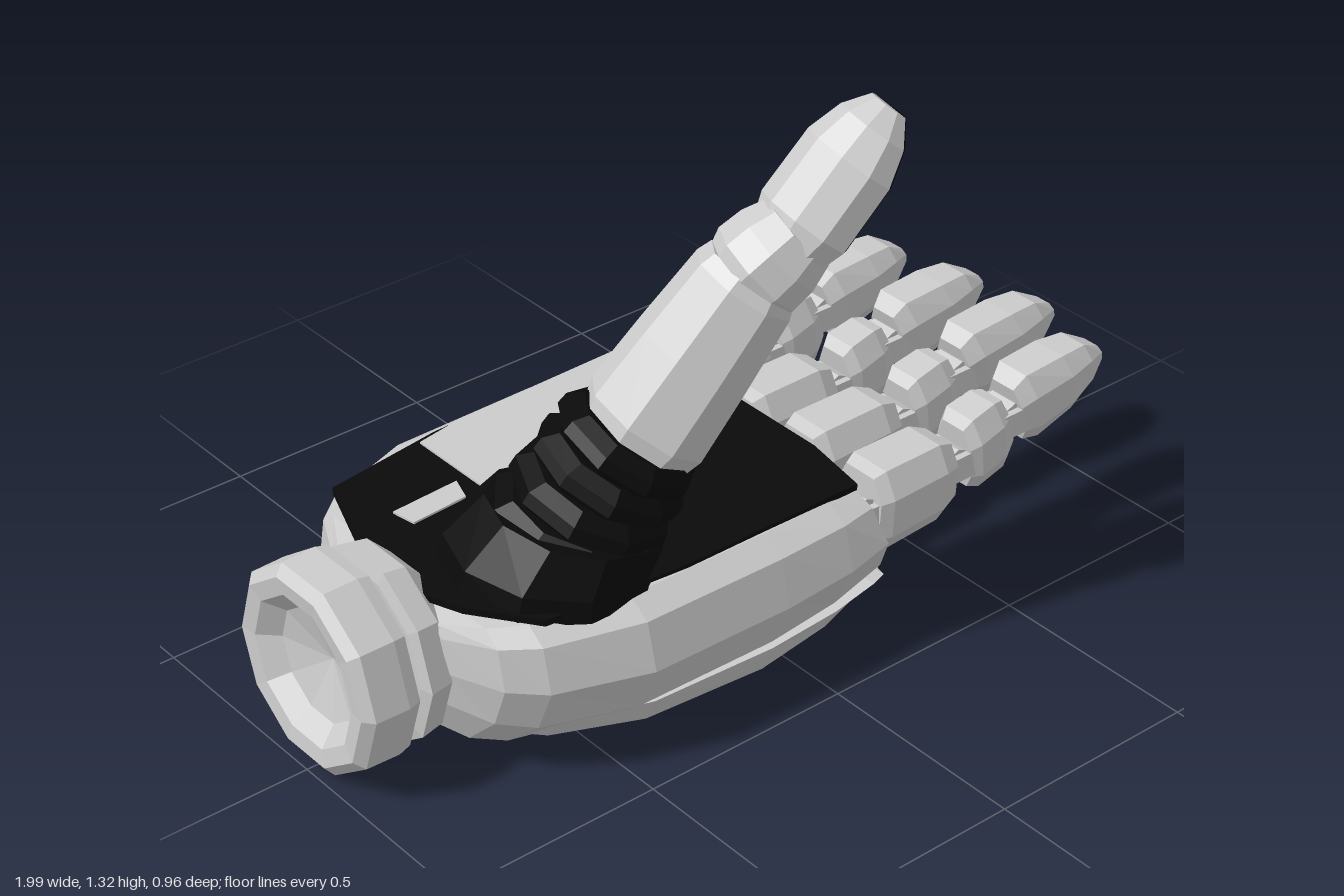
import * as THREE from 'three';

const V = (x, y, z) => new THREE.Vector3(x, y, z);
const TURN = Math.PI * 2;
const grey = new THREE.MeshStandardMaterial({ color: 0xcccccc, flatShading: true });
const greyThin = new THREE.MeshStandardMaterial({ color: 0xcccccc, flatShading: true, side: THREE.DoubleSide });
const black = new THREE.MeshStandardMaterial({ color: 0x0a0a0a, flatShading: true });

// Closed faceted solid through a list of equal-length rings, faces turned outward
function loft(rings) {
  const n = rings[0].length, pts = rings.flat(), idx = [];
  for (let i = 0; i < rings.length - 1; i++)
    for (let j = 0; j < n; j++) {
      const a = i * n + j, b = i * n + (j + 1) % n;
      idx.push(a, b, a + n, b, b + n, a + n);
    }
  [0, rings.length - 1].forEach((r, end) => {
    const c = pts.length;
    pts.push(rings[r].reduce((s, p) => s.add(p), V(0, 0, 0)).divideScalar(n));
    for (let j = 0; j < n; j++) {
      const a = r * n + j, b = r * n + (j + 1) % n;
      idx.push(...(end ? [c, a, b] : [c, b, a]));
    }
  });
  let volume = 0;
  for (let i = 0; i < idx.length; i += 3)
    volume += pts[idx[i]].dot(V(0, 0, 0).crossVectors(pts[idx[i + 1]], pts[idx[i + 2]]));
  if (volume < 0) idx.reverse();
  const g = new THREE.BufferGeometry().setFromPoints(pts);
  g.setIndex(idx);
  g.computeVertexNormals();
  return g;
}

function add(parent, name, geometry, material = grey) {
  const m = new THREE.Mesh(geometry, material);
  m.name = name;
  parent.add(m);
  return m;
}

// Chamfered-box section across x; lean shifts the lower edge forward
function boxRing(x, y, ry, rz, lean = 0) {
  return [[-.6, -1], [.6, -1], [.92, -.55], [1, .4], [.62, 1], [-.62, 1], [-1, .4], [-.92, -.55]]
    .map(([a, b]) => V(x - lean * b, y + b * ry, a * rz));
}

// Flat slab from an x,z outline with its upper face at height y
function slab(outline, y, depth) {
  const g = new THREE.ExtrudeGeometry(new THREE.Shape(outline.map(p => new THREE.Vector2(...p))),
    { depth, bevelEnabled: false });
  return g.rotateX(Math.PI / 2).translate(0, y, 0);
}

// Turned part about the x axis; profile points are [radius, x]
function turned(profile) {
  const g = new THREE.LatheGeometry(profile.map(p => new THREE.Vector2(...p)), 10);
  return g.rotateZ(-Math.PI / 2);
}

// Arc section across the thumb axis; squash narrows it towards +x
function thumbRing(c, axis, r, n, from = 0, to = TURN, squash = 1) {
  const d = axis.clone().normalize();
  const u = V(1, 0, 0).addScaledVector(d, -d.x).normalize();
  const v = V(0, 0, 0).crossVectors(d, u);
  const steps = to - from < TURN - .01 ? n - 1 : n;
  return Array.from({ length: n }, (_, i) => {
    const a = from + (to - from) * i / steps;
    return c.clone().addScaledVector(u, squash * r * Math.cos(a)).addScaledVector(v, r * Math.sin(a));
  });
}

// Thumb link: black gripping side and grey outer side; stations are [t, radius]
function thumbLink(parent, name, a, b, stations, half, squash) {
  const axis = b.clone().sub(a);
  const side = (from, to, n) => loft(stations.map(([t, r]) =>
    thumbRing(a.clone().addScaledVector(axis, t), axis, r, n, from, to, squash)));
  add(parent, name + 'Pad', side(-half, half, 5), black);
  add(parent, name + 'Shell', side(half, TURN - half, 6));
}

function makeFinger(z, reach) {
  const f = new THREE.Group();
  f.name = 'finger';
  const link = (name, rows) => add(f, name, loft(rows.map(r => boxRing(...r))));
  const hinge = (x, y, r, w) => {
    const h = add(f, 'hinge', new THREE.CylinderGeometry(r, r, w * .8, 8));
    h.rotation.x = Math.PI / 2;
    h.position.set(x, y, 0);
    for (const s of [-1, 1])
      add(f, 'hingePlate', new THREE.BoxGeometry(.1, .06, .016)).position.set(x, y, s * w * .5);
  };
  link('knuckle', [[.08, .28, .09, .07], [.18, .275, .085, .066], [.2, .27, .05, .045]]);
  hinge(.225, .268, .045, .11);
  link('proximalLink', [[.245, .265, .09, .07], [.275, .267, .1, .083], [.44, .272, .096, .08], [.485, .272, .078, .066]]);
  hinge(.515, .28, .04, .09);
  link('middleLink', [[.54, .285, .075, .052, .01], [.565, .293, .09, .066, .015], [.64, .31, .088, .062, .02], [.67, .325, .068, .05, .02]]);
  hinge(.69, .33, .042, .09);
  link('distalLink', [[.705, .335, .07, .052, .02], [.74, .35, .086, .068, .025],
    [.85, .37, .074, .07, .02], [.92, .385, .056, .058, .012], [.975, .39, .02, .034, .005]]);
  // Each finger has its own reach from the knuckle line
  f.scale.x = (reach - .17) / .805;
  f.position.set(.17 - .17 * f.scale.x, 0, z);
  return f;
}

export function createModel() {
  const hand = new THREE.Group();
  hand.name = 'mechanicalHand';

  // Wrist cuff with a dished end, and the collar beside the palm
  const cuff = add(hand, 'wristCuff', turned([[0, -.92], [.13, -.955], [.17, -.995], [.21, -1],
    [.234, -.98], [.236, -.9], [.228, -.87], [.14, -.87], [0, -.87]]), greyThin);
  cuff.position.y = .245;
  const collar = add(hand, 'wristCollar', turned([[0, -.84], [.19, -.842], [.222, -.835],
    [.212, -.78], [.15, -.72], [0, -.72]]), greyThin);
  collar.position.y = .24;

  // Palm shell: sections along x with half width, lower and upper height,
  // ending in a sloped recess that holds the knuckles
  const half = [[0, 0], [.6, 0], [.88, .28], [1, .6], [.94, .9], [.82, 1]];
  const palmRing = ([x, w, lo, hi, lean = 0]) => {
    const at = (s, [a, b]) => V(x + lean * (1 - b), lo + b * (hi - lo), s * a * w);
    return [...half.map(p => at(1, p)), ...half.slice(1).reverse().map(p => at(-1, p))];
  };
  add(hand, 'palmShell', loft([[-.785, .2, .1, .36], [-.73, .32, .065, .375], [-.66, .38, .045, .38],
    [-.45, .452, .03, .388], [-.1, .457, .03, .388], [.08, .45, .05, .386],
    [.16, .435, .09, .382, .085], [.155, .4, .135, .365, .06], [.1, .395, .15, .36]].map(palmRing)));
  // Back-of-hand plate, low on the underside
  add(hand, 'backPlate', loft([[-.74, .2, .05, .11], [-.6, .31, .022, .105], [-.4, .385, .008, .11],
    [-.1, .405, .004, .115], [.08, .402, .03, .125], [.2, .388, .07, .135], [.245, .37, .1, .13]]
    .map(([x, w, lo, hi]) => [[-1, hi], [-.92, lo + .04], [-.5, lo + .012], [0, lo], [.5, lo + .012],
      [.92, lo + .04], [1, hi]].map(([a, y]) => V(x, y, a * w)))));

  // Black palm surface with its grey inset and a small plate at the heel
  add(hand, 'palmSurface', slab([[-.69, -.32], [-.4, -.36], [.1, -.375], [.13, -.34], [.14, -.2], [.19, -.1],
    [.19, .2], [.16, .37], [-.3, .37], [-.64, .34], [-.74, .2], [-.77, .12], [-.77, -.11]], .397, .015), black);
  add(hand, 'palmInset', slab([[-.45, -.34], [-.33, -.36], [.1, -.37], [.13, -.34], [.13, -.2],
    [.06, -.06], [-.25, -.01], [-.45, -.05]], .402, .015));
  add(hand, 'heelPlate', slab([[-.65, -.16], [-.48, -.17], [-.5, -.11], [-.64, -.1]], .402, .015));

  // Thumb mount: black mound and pleated sleeve turning into the thumb direction
  const thumb = new THREE.Group();
  thumb.name = 'thumb';
  hand.add(thumb);
  const mound = [[-.48, .37, .15, .24], [-.48, .42, .16, .225], [-.45, .5, .19, .185]];
  add(thumb, 'thumbMound', loft(mound.map(([x, y, z, r], i) =>
    thumbRing(V(x, y, z), V(.12 * i, 1, .06 * i), r, 10))), black);
  const root = V(-.45, .475, .19), neck = V(-.34, .645, .235);
  for (let i = 0; i < 4; i++) {
    const c = root.clone().lerp(neck, i / 3.2), axis = V(.2 + .09 * i, .8, .2 + .03 * i);
    const step = axis.clone().normalize().multiplyScalar(.035);
    add(thumb, 'sleevePleat', loft([[-1, .15], [-.3, .185], [.5, .182], [1.2, .15]].map(([t, r]) =>
      thumbRing(c.clone().addScaledVector(step, t), axis, r * (1 - .045 * i), 9, i * .25, i * .25 + TURN))), black);
  }

  // Thumb links and the grey joint between them
  const base = V(-.325, .65, .235), elbow = V(-.1, .985, .33), joint = V(-.025, 1.06, .37), tip = V(.165, 1.295, .42);
  thumbLink(thumb, 'lowerThumb', base, elbow,
    [[0, .13], [.1, .142], [.5, .132], [.92, .118], [1, .105]], 1.2, .95);
  const jointAxis = joint.clone().sub(elbow);
  add(thumb, 'thumbJoint', loft([[-.15, .1], [.1, .112], [.6, .108], [1.1, .09]].map(([t, r]) =>
    thumbRing(elbow.clone().addScaledVector(jointAxis, t), jointAxis, r, 9))));
  thumbLink(thumb, 'upperThumb', joint, tip,
    [[-.05, .095], [.1, .112], [.6, .11], [.85, .085], [1.02, .045]], 1.5, .8);

  // Four fingers: z position and reach along x
  for (const [z, reach] of [[-.31, .9], [-.105, .95], [.09, .985], [.29, .935]])
    hand.add(makeFinger(z, reach));

  return hand;
}
